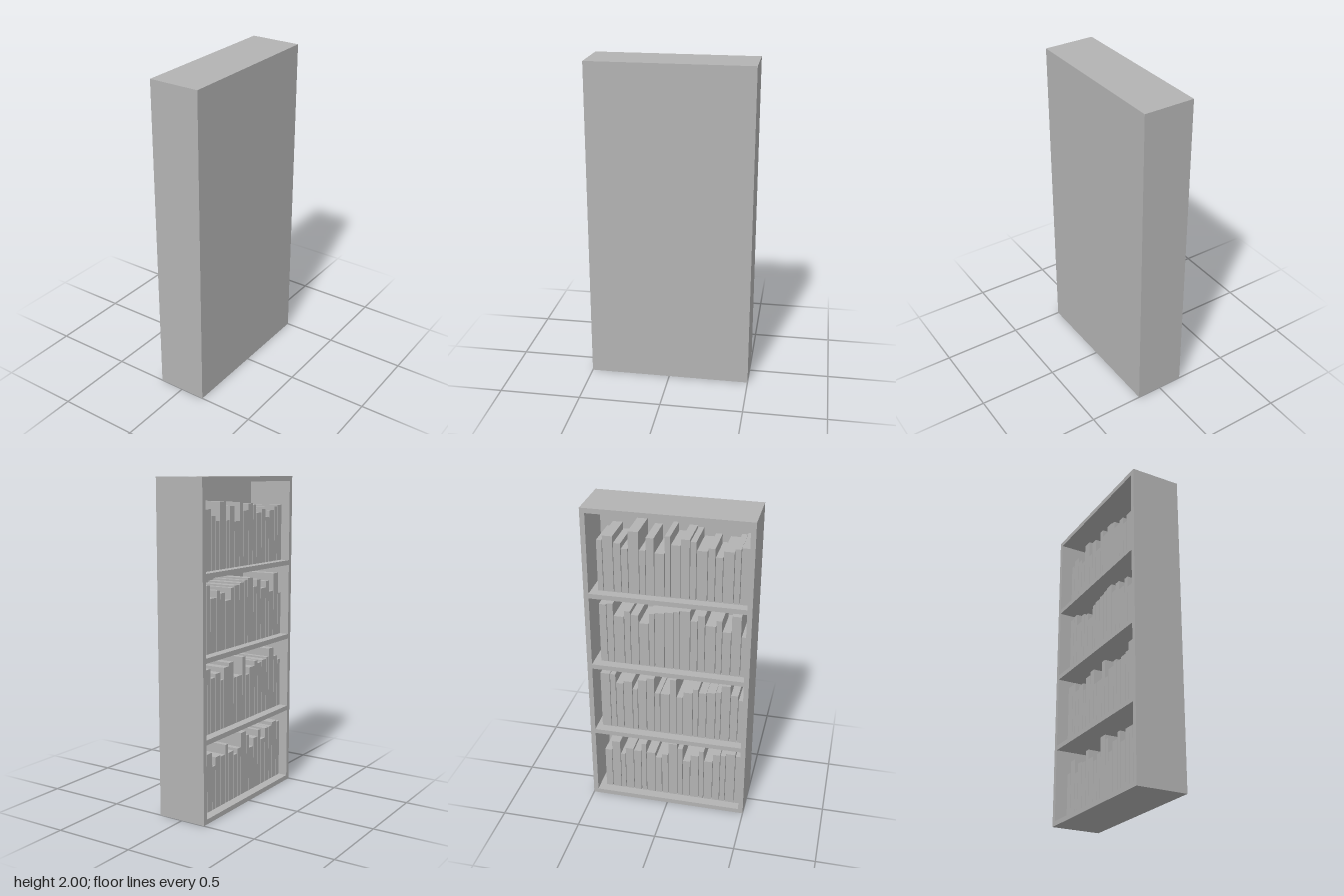
import * as THREE from 'three';

const W = 1, H = 2, D = 0.316, T = 0.03; // overall size and board thickness
const INNER = W / 2 - T;
const BOOK_FRONT = -0.1, BOOK_BACK = D / 2 - T;

// Book heights in hundredths from left (+x) to right, bays from bottom to top
const rows = [
  { start: 0.43, heights: [29, 36, 27, 32, 31, 37, 31, 28, 31, 40, 37, 28, 33, 37, 30, 36, 36, 38, 37] },
  { start: 0.44, heights: [39, 39, 33, 35, 30, 37, 39, 29, 29, 40, 28, 32, 35, 33, 34, 35, 40, 34, 31] },
  { start: 0.43, heights: [39, 40, 32, 36, 34, 29, 36, 37, 38, 39, 40, 34, 38, 32, 36, 29, 40, 27] },
  { start: 0.43, heights: [32, 35, 31, 28, 39, 28, 36, 27, 38, 33, 37, 36, 31, 33, 28, 32, 34, 35] },
];

export function createModel() {
  const model = new THREE.Group();
  model.name = 'bookcase';
  const grey = new THREE.MeshStandardMaterial({ color: 0xb3b3b3 });
  grey.name = 'grey';

  const box = (parent, name, w, h, d, x, y, z) => {
    const mesh = new THREE.Mesh(new THREE.BoxGeometry(w, h, d), grey);
    mesh.name = name;
    mesh.position.set(x, y, z);
    parent.add(mesh);
  };

  // Cabinet: sides, top and the closed panel; open towards -z
  box(model, 'leftSide', T, H, D, W / 2 - T / 2, H / 2, 0);
  box(model, 'rightSide', T, H, D, -W / 2 + T / 2, H / 2, 0);
  box(model, 'topBoard', INNER * 2, T, D, 0, H - T / 2, 0);
  box(model, 'closedPanel', INNER * 2, H - 2 * T, T, 0, H / 2, D / 2 - T / 2);

  rows.forEach(({ start, heights }, i) => {
    // Shelf board; the lowest one is the base
    const shelfTop = T + i * 0.48;
    const depth = i ? D - T : D;
    box(model, i ? 'shelf' : 'baseBoard', INNER * 2, T, depth, 0, shelfTop - T / 2, (depth - D) / 2);

    // Books of varied thickness, together filling the row up to the right side
    const books = new THREE.Group();
    books.name = 'bookRow';
    const shares = heights.map((_, b) => 1 + 0.3 * Math.sin(b * 2.3 + i * 1.7));
    const scale = (start + INNER) / shares.reduce((sum, s) => sum + s, 0);
    let x = start;
    heights.forEach((height, b) => {
      const w = shares[b] * scale, h = height / 100;
      box(books, 'book', w - 0.004, h, BOOK_BACK - BOOK_FRONT,
        x - w / 2, shelfTop + h / 2, (BOOK_FRONT + BOOK_BACK) / 2);
      x -= w;
    });
    model.add(books);
  });

  return model;
}
